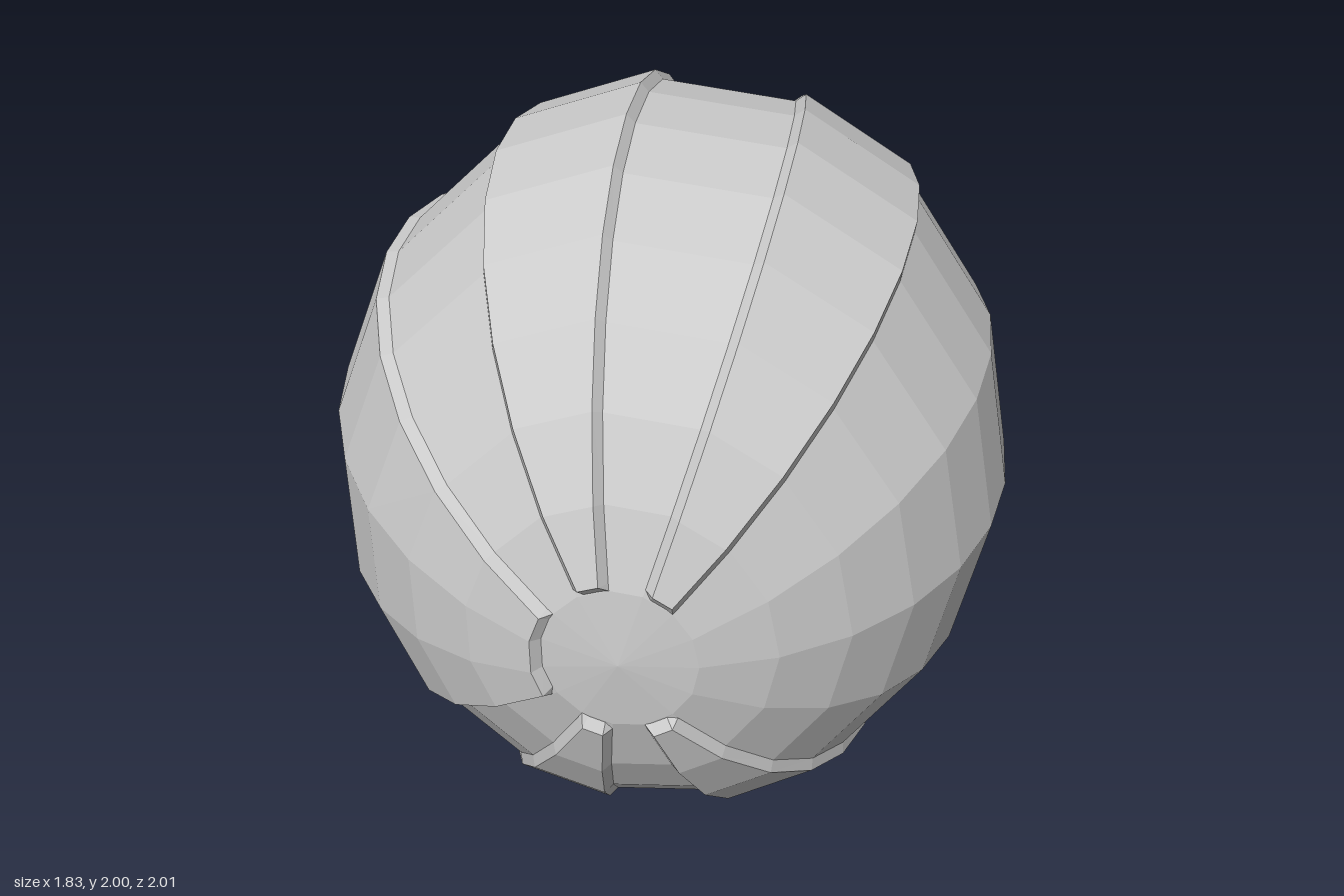
import * as THREE from 'three';

const SEGMENTS = 15, RINGS = 15;
const RADII = new THREE.Vector3(0.91, 0.985, 0.99);
const RAISE = 0.026, INSET = 0.02;

const material = new THREE.MeshStandardMaterial({ color: 0xcccccc, flatShading: true });

// Point on the ellipsoid: theta runs from the front pole, phi around it
function surfacePoint(theta, phi, raise = 0) {
  const unit = new THREE.Vector3(
    Math.sin(theta) * Math.cos(phi),
    Math.sin(theta) * Math.sin(phi),
    Math.cos(theta)
  );
  const normal = unit.clone().divide(RADII).normalize();
  return unit.multiply(RADII).addScaledVector(normal, raise);
}

// Skin a list of equally long rows of points with faceted quads
function skin(rows, name) {
  const width = rows[0].length;
  const index = [];
  for (let i = 0; i < rows.length - 1; i++) {
    for (let j = 0; j < width - 1; j++) {
      const a = i * width + j, b = a + width;
      index.push(a, b, b + 1, a, b + 1, a + 1);
    }
  }
  const indexed = new THREE.BufferGeometry().setFromPoints(rows.flat());
  indexed.setIndex(index);
  const geometry = indexed.toNonIndexed();
  geometry.computeVertexNormals();
  const mesh = new THREE.Mesh(geometry, material);
  mesh.name = name;
  return mesh;
}

const ringAngle = (i) => (i / RINGS) * Math.PI;
const segmentAngle = (j) => (j / SEGMENTS) * Math.PI * 2;

// Plain faceted ball
function makeBall() {
  const rows = [];
  for (let i = 0; i <= RINGS; i++) {
    const row = [];
    for (let j = 0; j <= SEGMENTS; j++) row.push(surfacePoint(ringAngle(i), segmentAngle(j)));
    rows.push(row);
  }
  return skin(rows, 'ball');
}

// Raised strip with sloped walls, from the first front ring to the back pole
function makePanel(start, end) {
  const row = (theta, raise) => {
    const inset = INSET / Math.max(Math.sin(theta), 0.2);
    const points = [surfacePoint(theta, segmentAngle(start))];
    for (let j = start; j <= end; j++) {
      const shift = j === start ? inset : j === end ? -inset : 0;
      points.push(surfacePoint(theta, segmentAngle(j) + shift, raise));
    }
    points.push(surfacePoint(theta, segmentAngle(end)));
    return points;
  };
  const rows = [row(ringAngle(1), 0), row(ringAngle(1) + 0.02, RAISE)];
  for (let i = 2; i < RINGS; i++) rows.push(row(ringAngle(i), RAISE));
  // all strips close on the back pole
  rows.push(rows[0].map(() => surfacePoint(Math.PI, 0)));
  return skin(rows, 'raisedPanel');
}

export function createModel() {
  const model = new THREE.Group();
  model.name = 'panelledBall';
  const body = new THREE.Group();
  body.name = 'body';
  body.add(makeBall());
  for (const [start, end] of [[2, 3], [4, 5], [6, 9], [10, 11], [12, 13]]) {
    body.add(makePanel(start, end));
  }
  body.rotation.y = 0.13;
  body.position.y = 1;
  model.add(body);
  return model;
}
